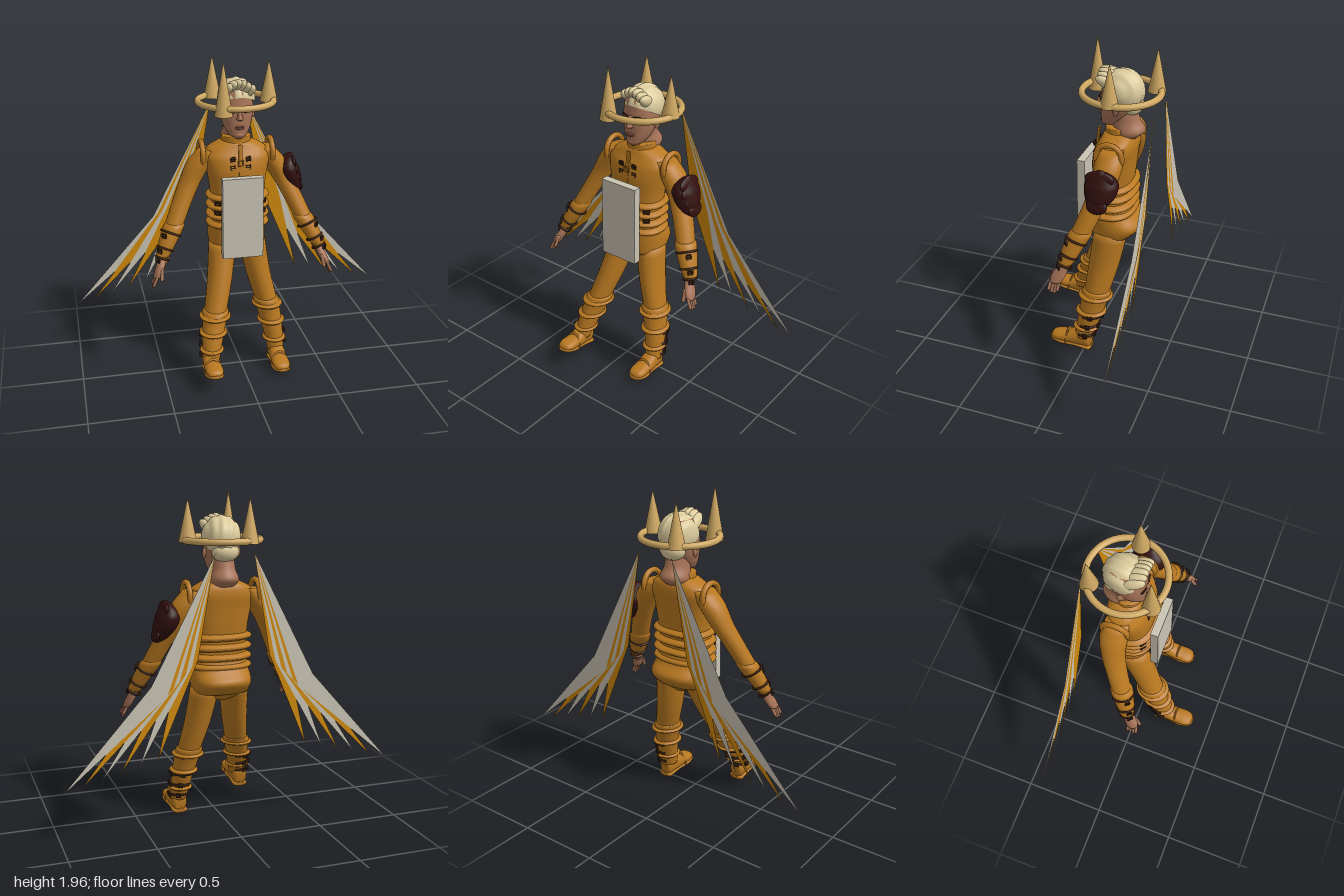
import * as THREE from 'three';

const mat = (name, color, side = THREE.FrontSide) => {
  const m = new THREE.MeshStandardMaterial({ color, side });
  m.name = name;
  return m;
};

export function createModel() {
  const model = new THREE.Group();
  const suit = mat('ochre suit', 0xb87820);
  const gold = mat('feather gold', 0xd08a0c, THREE.DoubleSide);
  const pale = mat('pale grey', 0xcac4b4, THREE.DoubleSide);
  const skin = mat('skin', 0xa87458);
  const hair = mat('blond hair', 0xdccb9c);
  const crown = mat('crown gold', 0xcfa862);
  const maroon = mat('dark maroon', 0x32100f);
  const dark = mat('dark leather', 0x3a2012);
  const lip = mat('lip', 0x8a5645);

  const add = (name, geo, material, pos = [0, 0, 0], rot = [0, 0, 0], parent = model) => {
    const m = new THREE.Mesh(geo, material);
    m.name = name;
    m.position.set(...pos);
    m.rotation.set(...rot);
    parent.add(m);
    return m;
  };
  const ball = (name, material, pos, r, rot) =>
    add(name, new THREE.SphereGeometry(1, 20, 14).scale(...r), material, pos, rot);

  // Smooth skin over rings [x, y, z, radiusX, radiusZ], listed from low to high
  const loft = (rings, { power = 2, seg = 24, sub = 4 } = {}) => {
    const centre = new THREE.CatmullRomCurve3(rings.map(r => new THREE.Vector3(r[0], r[1], r[2])));
    const size = new THREE.CatmullRomCurve3(rings.map(r => new THREE.Vector3(r[3], 0, r[4])));
    const n = (rings.length - 1) * sub, pos = [], idx = [];
    const bend = v => Math.sign(v) * Math.abs(v) ** (2 / power);
    for (let i = 0; i <= n; i++) {
      const c = centre.getPoint(i / n), s = size.getPoint(i / n);
      for (let j = 0; j < seg; j++) {
        const a = j / seg * Math.PI * 2;
        pos.push(c.x + s.x * bend(Math.cos(a)), c.y, c.z + s.z * bend(Math.sin(a)));
        if (i < n) {
          const p = i * seg + j, q = i * seg + (j + 1) % seg;
          idx.push(p, p + seg, q, q, p + seg, q + seg);
        }
      }
    }
    const base = pos.length / 3, last = n * seg;
    for (const i of [0, rings.length - 1]) pos.push(...rings[i].slice(0, 3));
    for (let j = 0; j < seg; j++) {
      const k = (j + 1) % seg;
      idx.push(base, j, k, base + 1, last + k, last + j);
    }
    const g = new THREE.BufferGeometry();
    g.setAttribute('position', new THREE.Float32BufferAttribute(pos, 3));
    g.setIndex(idx);
    g.computeVertexNormals();
    return g;
  };

  // Tapered rod between two points
  const rod = (name, a, b, r, material) => {
    const A = new THREE.Vector3(...a), B = new THREE.Vector3(...b), d = B.clone().sub(A);
    const m = add(name, new THREE.CapsuleGeometry(r, d.length(), 4, 8), material);
    m.position.copy(A).add(B).multiplyScalar(0.5);
    m.quaternion.setFromUnitVectors(new THREE.Vector3(0, 1, 0), d.normalize());
  };
  // Square buckle frame with a tongue
  const buckle = (name, pos, yaw, s = 0.022) => {
    const g = new THREE.Group();
    g.name = name;
    add('buckleFrame', new THREE.TorusGeometry(s, s * 0.28, 6, 4).rotateZ(Math.PI / 4), dark, [0, 0, 0], [0, 0, 0], g);
    add('buckleTongue', new THREE.BoxGeometry(s * 2, s * 0.35, s * 0.5), dark, [0, 0, 0], [0, 0, 0], g);
    g.position.set(...pos);
    g.rotation.y = yaw;
    model.add(g);
  };

  // Jacket with flared skirt, belts and collar
  add('jacket', loft([
    [0, .785, -.115, .172, .125], [0, .86, -.142, .178, .16], [0, .93, -.115, .17, .13],
    [0, 1.01, -.105, .16, .115], [0, 1.1, -.105, .163, .115], [0, 1.2, -.11, .172, .12],
    [0, 1.29, -.115, .188, .122], [0, 1.36, -.128, .2, .118], [0, 1.41, -.14, .175, .102],
    [0, 1.445, -.14, .11, .085], [0, 1.46, -.14, .07, .06]], { power: 2.4, seg: 36 }), suit);
  for (const y of [.945, 1.0, 1.06, 1.12])
    add('waistBelt', loft([[0, y - .022, -.106, .164, .116], [0, y - .016, -.106, .175, .127],
      [0, y + .016, -.106, .175, .127], [0, y + .022, -.106, .164, .116]], { power: 2.4, seg: 36 }), suit);
  add('collar', loft([[0, 1.42, -.14, .1, .09], [0, 1.455, -.138, .09, .083], [0, 1.48, -.135, .088, .08],
    [0, 1.485, -.135, .075, .07]]), suit);
  add('frontPlacket', new THREE.BoxGeometry(.022, .2, .012), suit, [0, 1.35, -.003], [-.1, 0, 0]);
  add('chestRing', new THREE.TorusGeometry(.02, .006, 6, 4), suit, [0, 1.34, .008], [0, 0, Math.PI / 4]);
  for (const s of [-1, 1]) {
    for (const y of [1.365, 1.312]) buckle('chestClasp', [s * .046, y, -.001], 0, .017);
    for (const y of [1.04, 1.1]) buckle('waistBuckle', [s * .14, y, -.005], s * .6);
  }
  add('pelvis', loft([[0, .74, -.115, .06, .07], [0, .78, -.12, .15, .1], [0, .84, -.12, .16, .11]]), suit);

  // Arms, cuffs and hands
  for (const s of [-1, 1]) {
    const sx = rings => rings.map(([x, ...r]) => [s * x, ...r]);
    add('arm', loft(sx([[.487, .79, .022, .036, .04], [.455, .86, 0, .048, .05], [.4, .97, -.045, .056, .06],
      [.345, 1.09, -.09, .06, .064], [.285, 1.21, -.13, .066, .072], [.225, 1.32, -.145, .076, .082],
      [.17, 1.4, -.145, .06, .07]])), suit);
    add('bracer', loft(sx([[.484, .8, .02, .042, .044], [.455, .86, 0, .053, .056], [.405, .96, -.04, .064, .068],
      [.395, .985, -.05, .056, .058]])), suit);
    add('shoulderRim', new THREE.TorusGeometry(.076, .017, 8, 28), suit, [s * .212, 1.37, -.143], [0, Math.PI / 2, s * .25]);
    for (const [x, y, z, r] of [[.425, .925, -.023, .061], [.465, .84, .008, .05], [.488, .785, .024, .04]]) {
      add('cuffStrap', new THREE.TorusGeometry(r, .007, 6, 24).rotateX(Math.PI / 2), dark, [s * x, y, z], [-.3, 0, s * .4]);
      buckle('cuffBuckle', [s * (x + r * .75), y, z + r * .75], s * .8, .018);
    }
    add('palm', loft(sx([[.527, .685, .068, .022, .034], [.51, .725, .055, .026, .042], [.492, .77, .035, .027, .034],
      [.485, .8, .022, .026, .028]])), skin);
    for (let i = 0; i < 4; i++) {
      const z = .042 + i * .018, drop = [.015, 0, 0, .012][i];
      rod('finger', [s * .528, .69, z], [s * .55, .632 + drop, z + .006], .0095, skin);
    }
    rod('thumb', [s * .495, .735, .085], [s * .502, .682, .108], .011, skin);
  }

  // Armour on the left upper arm: overlapping rough shells
  add('shoulderGuard', loft([[.372, 1.1, -.115, .02, .022], [.358, 1.14, -.125, .05, .06], [.338, 1.2, -.137, .07, .092],
    [.322, 1.25, -.14, .073, .1], [.32, 1.3, -.138, .05, .08], [.337, 1.345, -.135, .013, .02]]), maroon);
  for (let i = 0; i < 4; i++)
    ball('guardScale', maroon, [.395 - i * .016, 1.15 + i * .05, -.135], [.018, .045, .062 + .012 * Math.min(i, 2)], [0, 0, .25]);

  // Legs, boots and feet: the right one strides forward
  const legs = [
    { s: 1, path: [[.225, .09, .012], [.208, .25, -.025], [.175, .42, -.06], [.13, .6, -.09], [.092, .82, -.12]],
      foot: [.225, .012, .02], pitch: -.08 },
    { s: -1, path: [[-.225, .15, .185], [-.203, .28, .125], [-.172, .42, .06], [-.13, .6, -.02], [-.092, .82, -.11]],
      foot: [-.228, .082, .178], pitch: -.2 }];
  for (const { s, path, foot, pitch } of legs) {
    const r = [[.05, .056], [.058, .064], [.069, .078], [.077, .094], [.086, .105]];
    add('leg', loft(path.map((p, i) => [...p, ...r[i]])), suit);
    const curve = new THREE.CatmullRomCurve3(path.map(p => new THREE.Vector3(...p)));
    const at = (t, w) => [...curve.getPoint(t).toArray(), w, w * 1.12];
    add('bootShaft', loft([at(0, .052), at(.1, .056), at(.25, .066), at(.4, .074), at(.48, .081), at(.51, .079), at(.52, .068)]), suit);
    for (const [t, w] of [[.12, .06], [.3, .073], [.46, .083]])
      add('bootBand', loft([at(t - .025, w - .006), at(t - .015, w), at(t + .015, w), at(t + .025, w - .006)]), suit);
    for (const t of [.06, .17, .28]) {
      const p = curve.getPoint(t), w = .06 + t * .06;
      add('bootStrap', new THREE.TorusGeometry(w + .004, .007, 6, 16, Math.PI * .75).rotateX(-Math.PI / 2),
        dark, p.toArray(), [0, s > 0 ? -.35 : Math.PI * .25 + .35, 0]);
      buckle('bootBuckle', [p.x + s * (w + .004), p.y, p.z - .02], s * 1.75, .018);
      buckle('rearBuckle', [p.x + s * .025, p.y, p.z - w * 1.12], Math.PI - s * .3, .016);
    }
    buckle('kneeBuckle', [path[2][0] + s * .076, path[2][1] - .06, path[2][2] + .03], s * 1.2, .015);
    const g = new THREE.Group();
    g.name = 'foot';
    add('shoe', loft([[0, -.055, -.055, .03, .04], [0, -.04, -.06, .045, .056], [0, .03, -.06, .05, .058],
      [0, .1, -.042, .052, .04], [0, .16, -.034, .053, .03], [0, .195, -.028, .04, .022], [0, .207, -.024, .015, .01]],
      { power: 2.3 }).rotateX(Math.PI / 2), suit, [0, 0, 0], [0, 0, 0], g);
    add('sole', loft([[0, -.062, -.01, .03, .012], [0, -.05, -.01, .048, .014], [0, .04, -.01, .047, .012],
      [0, .13, -.01, .058, .012], [0, .19, -.012, .046, .012], [0, .213, -.014, .02, .009]],
      { power: 3 }).rotateX(Math.PI / 2), suit, [0, 0, 0], [0, 0, 0], g);
    add('toeStrap', new THREE.TorusGeometry(.052, .006, 6, 20, Math.PI).scale(1, 1.55, 1), suit, [0, .012, .1], [0, 0, 0], g);
    g.position.set(...foot);
    g.rotation.x = pitch;
    model.add(g);
  }

  // Neck and head
  add('neck', loft([[0, 1.42, -.17, .075, .075], [0, 1.465, -.195, .085, .095], [0, 1.52, -.175, .07, .085],
    [0, 1.6, -.16, .068, .075]]), skin);
  add('head', loft([[0, 1.478, -.068, .02, .028], [0, 1.495, -.083, .05, .055], [0, 1.54, -.108, .078, .08],
    [0, 1.6, -.13, .096, .102], [0, 1.67, -.142, .102, .113], [0, 1.74, -.15, .098, .112], [0, 1.79, -.15, .07, .08],
    [0, 1.81, -.15, .02, .02]], { power: 2.2 }), skin);
  add('nose', loft([[0, 1.592, -.028, .01, .015], [0, 1.602, -.022, .02, .027], [0, 1.62, -.022, .014, .022],
    [0, 1.665, -.03, .009, .013]], { seg: 12 }), skin);
  for (const y of [1.553, 1.543]) ball('lip', lip, [0, y, -.029], [.028, .006, .011]);
  ball('chin', skin, [0, 1.503, -.045], [.028, .018, .02]);
  for (const s of [-1, 1]) {
    ball('ear', skin, [s * .104, 1.61, -.145], [.011, .033, .02], [-.15, s * -.3, 0]);
    ball('eye', dark, [s * .04, 1.64, -.038], [.016, .006, .008], [0, s * .3, 0]);
    add('eyebrow', new THREE.BoxGeometry(.044, .008, .009), dark, [s * .042, 1.662, -.032], [0, s * .25, s * .12]);
  }

  // Hair: a tilted wavy cap with swept locks
  const cap = new THREE.SphereGeometry(1, 40, 24, 0, Math.PI * 2, 0, Math.PI * .6);
  const cp = cap.attributes.position;
  for (let i = 0; i < cp.count; i++) {
    const k = 1 + .025 * Math.sin(cp.getX(i) * 14 + cp.getZ(i) * 3);
    cp.setXYZ(i, cp.getX(i) * .112 * k, cp.getY(i) * .122 * k, cp.getZ(i) * .125 * k);
  }
  cap.computeVertexNormals();
  add('hairCap', cap, hair, [.003, 1.7, -.155], [-.5, 0, 0]);
  for (let i = 0; i < 6; i++)
    ball('hairLock', hair, [-.065 + i * .027, 1.765 + .022 * Math.sin(i * .75), -.085], [.027, .034, .075], [-.45, .2, -.3]);
  ball('napeHair', hair, [0, 1.62, -.215], [.082, .06, .06]);

  // Floating spiked crown
  add('crownRing', new THREE.TorusGeometry(.225, .02, 12, 56).rotateX(Math.PI / 2), crown, [0, 1.685, -.145]);
  for (const [x, z, low, top] of [[-.108, .036, 1.64, 1.96], [.2, -.14, 1.675, 1.925], [-.108, -.32, 1.67, 1.93]])
    add('crownSpike', new THREE.ConeGeometry(.053, top - low, 24), crown, [x, (low + top) / 2, z]);

  // Slab in front of the body
  add('chestSlab', new THREE.BoxGeometry(.247, .5, .048), pale, [-.002, 1.02, .06]);

  // Flat fans of overlapping feathers behind the back
  const mix = THREE.MathUtils.lerp;
  for (const s of [-1, 1]) for (let i = 0; i < 6; i++) {
    const t = i / 5;
    const pts = [[.115, 1.625], [mix(.215, .4, t), mix(1.04, .84, t)],
      [mix(.455, 1, t), mix(.475, .335, t)], [mix(.335, .49, t), mix(1.0, .905, t)]];
    const shape = new THREE.Shape(pts.map(([x, y]) => new THREE.Vector2(s * x, y)));
    add('wingFeather', new THREE.ShapeGeometry(shape), i % 2 ? pale : gold, [0, 0, -.37 - i * .001]);
  }
  return model;
}
